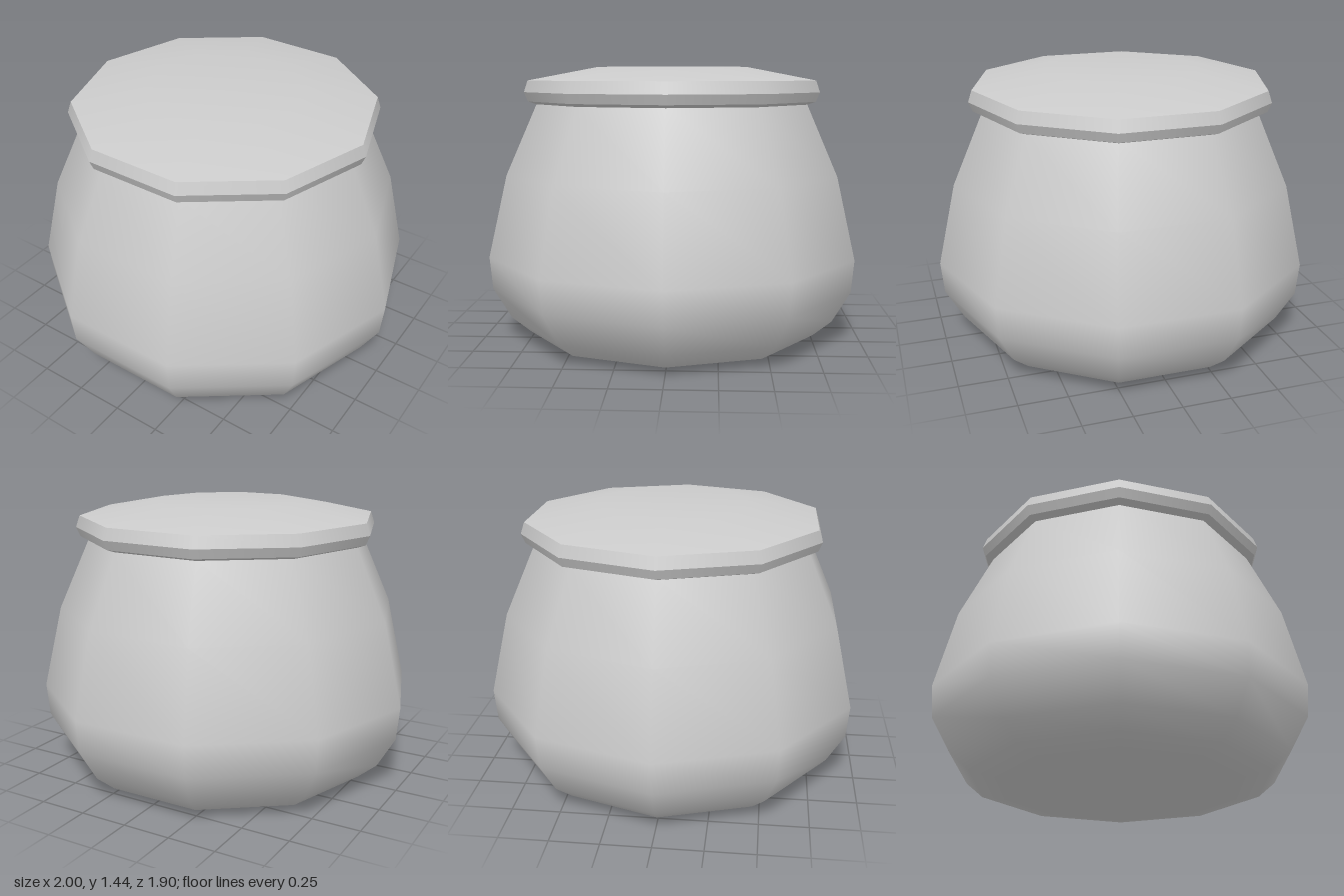
import * as THREE from 'three';

const SIDES = 10;

export function createModel() {
  const group = new THREE.Group();
  const material = new THREE.MeshStandardMaterial({ color: 0xcccccc });

  // Ten-sided turned surface with a corner on +x; profile runs bottom to top
  const turned = (name, profile, parent) => {
    const points = profile.map(([r, y]) => new THREE.Vector2(r, y));
    const mesh = new THREE.Mesh(new THREE.LatheGeometry(points, SIDES, Math.PI / 2), material);
    mesh.name = name;
    parent.add(mesh);
  };

  // Rounded pot body with a closed base
  turned('body', [
    [0, 0], [0.64, 0], [0.79, 0.03], [0.89, 0.115],
    [0.985, 0.28], [1, 0.45], [0.9, 0.88], [0.735, 1.25],
  ], group);

  // Lid: separate bands keep its horizontal edges sharp
  const lid = new THREE.Group();
  lid.name = 'lid';
  group.add(lid);
  turned('lidUnderside', [[0, 1.245], [0.73, 1.245], [0.78, 1.262]], lid);
  turned('lidLowerBand', [[0.78, 1.262], [0.8, 1.31]], lid);
  turned('lidUpperBand', [[0.8, 1.31], [0.78, 1.37]], lid);
  turned('lidTop', [[0.78, 1.37], [0.41, 1.44], [0, 1.44]], lid);

  return group;
}
